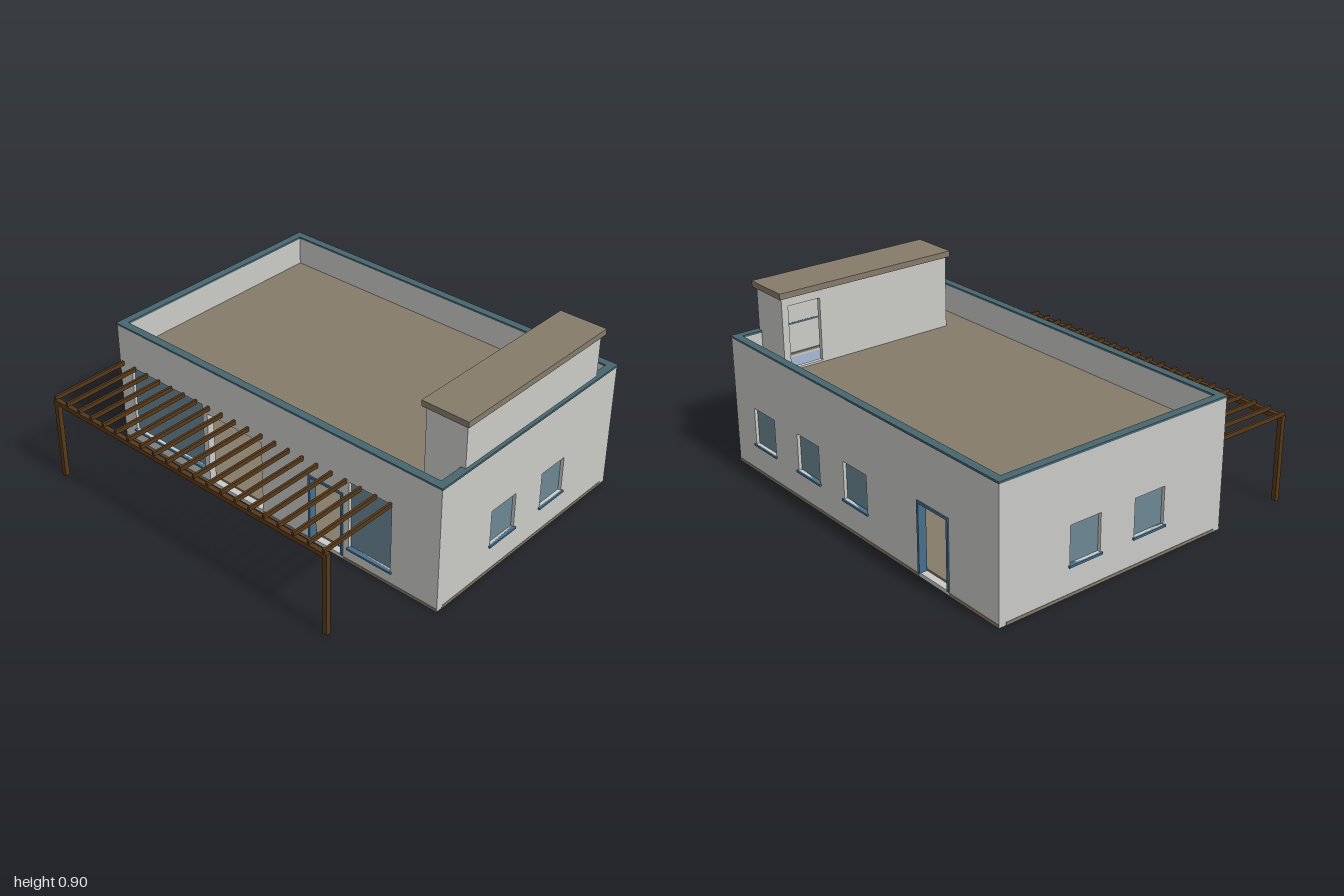
import * as THREE from 'three';

const mat = (name, color) => Object.assign(new THREE.MeshStandardMaterial({ color }), { name });

export function createModel() {
  const plaster = mat('plaster', 0xcacac7);
  const tan = mat('tan slab', 0x857b6a);
  const inner = mat('pale blue interior', 0xa6b9d3);
  const glass = mat('window glass', 0x6c8794);
  const coping = mat('teal coping', 0x48666f);
  const trim = mat('blue trim', 0x47708c);
  const wood = mat('dark wood', 0x573819);

  const model = new THREE.Group();
  model.name = 'flatRoofHouse';

  // Box given by its min and max on each axis
  const box = (parent, name, material, x0, x1, y0, y1, z0, z1) => {
    const mesh = new THREE.Mesh(new THREE.BoxGeometry(x1 - x0, y1 - y0, z1 - z0), material);
    mesh.position.set((x0 + x1) / 2, (y0 + y1) / 2, (z0 + z1) / 2);
    mesh.name = name;
    parent.add(mesh);
    return mesh;
  };

  const rectPoints = (x0, x1, y0, y1) => [
    new THREE.Vector2(x0, y0), new THREE.Vector2(x1, y0),
    new THREE.Vector2(x1, y1), new THREE.Vector2(x0, y1)];

  // Rectangular panel with rectangular holes, extruded along z
  const panel = (parent, name, material, rect, holes, depth) => {
    const shape = new THREE.Shape(rectPoints(...rect));
    holes.forEach(h => shape.holes.push(new THREE.Path(rectPoints(...h))));
    const geometry = new THREE.ExtrudeGeometry(shape, { depth, bevelEnabled: false });
    const mesh = new THREE.Mesh(geometry, material);
    mesh.name = name;
    parent.add(mesh);
    return mesh;
  };

  const X = 0.99, ZF = 0.43, ZB = -0.845, ZC = (ZF + ZB) / 2;
  const T = 0.035, TOP = 0.645, ROOF = 0.5;

  // Wall seen from outside: openings are [kind, u0, u1, y0, y1]
  const buildWall = (name, half, innerHalf, openings, position, turn) => {
    const wall = new THREE.Group();
    wall.name = name;
    wall.position.set(...position);
    wall.rotation.y = turn;
    model.add(wall);
    const holes = openings.map(o => o.slice(1));
    panel(wall, 'wallPanel', plaster, [-half, half, 0, TOP], holes, T).position.z = -T;
    panel(wall, 'interiorLining', inner, [-innerHalf, innerHalf, 0.015, ROOF - 0.02], holes, 0.004)
      .position.z = -T - 0.004;

    for (const [kind, a, b, y0, y1] of openings) {
      if (kind === 'window') {
        box(wall, 'windowPane', glass, a, b, y0, y1, -0.024, -0.016);
        box(wall, 'windowSill', trim, a - 0.008, b + 0.008, y0 - 0.01, y0, -0.016, 0.009);
      } else if (kind === 'door') {
        const f = 0.012;
        box(wall, 'doorJamb', trim, a, a + f, y0, y1, -T, 0.006);
        box(wall, 'doorJamb', trim, b - f, b, y0, y1, -T, 0.006);
        box(wall, 'doorHead', trim, a, b, y1 - f, y1, -T, 0.006);
      }
    }

    // Base strip interrupted at the doorways
    let start = -half;
    const gaps = openings.filter(o => o[0] !== 'window').sort((p, q) => p[1] - q[1]);
    for (const [, a, b] of [...gaps, ['', half, half]]) {
      box(wall, 'baseStrip', tan, start, a, 0, 0.015, -0.002, 0.002);
      start = b;
    }
  };

  buildWall('frontWall', X, X - T, [
    ['window', -0.905, -0.42, 0.08, 0.44],
    ['opening', -0.39, -0.04, 0.02, 0.4],
    ['door', 0.25, 0.455, 0.02, 0.365],
    ['window', 0.488, 0.728, 0.08, 0.44]], [0, 0, ZF], 0);

  buildWall('backWall', X, X - T, [
    ...[-0.735, -0.365, 0.005].map(u => ['window', u - 0.088, u + 0.088, 0.15, 0.335]),
    ['door', 0.46, 0.67, 0.02, 0.365]], [0, 0, ZB], Math.PI);

  const sideHalf = (ZF - ZB) / 2 - T;
  for (const side of [1, -1]) {
    const openings = [[-0.105, 0.07], [-0.47, -0.3]].map(([z0, z1]) => {
      const u = [-side * (z0 - ZC), -side * (z1 - ZC)].sort((p, q) => p - q);
      return ['window', ...u, 0.15, 0.335];
    });
    buildWall(side > 0 ? 'leftWall' : 'rightWall', sideHalf, sideHalf, openings,
      [side * X, 0, ZC], side * Math.PI / 2);
  }

  // Floor slab
  box(model, 'floor', tan, -X + T, X - T, 0.002, 0.03, ZB + T, ZF - T);

  // Roof slab and ceiling, with a stairwell hole under the roof tower
  const roofRect = [-X + T, X - T, -ZF + T, -ZB - T];
  const stairHole = [[0.785, 0.945, -0.235, 0.675]];
  const roof = panel(model, 'roof', tan, roofRect, stairHole, 0.01);
  roof.rotation.x = -Math.PI / 2;
  roof.position.y = ROOF - 0.01;
  const ceiling = panel(model, 'ceiling', plaster, roofRect, stairHole, 0.01);
  ceiling.rotation.x = -Math.PI / 2;
  ceiling.position.y = ROOF - 0.02;

  // Coping on top of the parapet
  const cap = panel(model, 'parapetCoping', coping, [-X - 0.003, X + 0.003, -ZF - 0.003, -ZB + 0.003],
    [[-X + 0.038, X - 0.038, -ZF + 0.038, -ZB - 0.038]], 0.01);
  cap.rotation.x = -Math.PI / 2;
  cap.position.y = TOP;

  // Hollow roof tower with a doorway facing the terrace
  const tower = new THREE.Group();
  tower.name = 'roofTower';
  model.add(tower);
  const [tx0, tx1, tz0, tz1, ty, w] = [0.76, 0.975, -0.7, 0.26, 0.87, 0.022];
  box(tower, 'towerFront', plaster, tx0, tx1, ROOF, ty, tz1 - w, tz1);
  box(tower, 'towerBack', plaster, tx0, tx1, ROOF, ty, tz0, tz0 + w);
  box(tower, 'towerOuterWall', plaster, tx1 - w, tx1, ROOF, ty, tz0 + w, tz1 - w);
  const doorWall = panel(tower, 'towerDoorWall', plaster, [tz0 + w, tz1 - w, ROOF, ty],
    [[-0.665, -0.49, ROOF + 0.01, 0.825]], w);
  doorWall.rotation.y = -Math.PI / 2;
  doorWall.position.x = tx0 + w;
  box(tower, 'towerCap', tan, 0.744, 0.99, ty, 0.9, -0.716, 0.276);

  // Pergola
  const pergola = new THREE.Group();
  pergola.name = 'pergola';
  model.add(pergola);
  for (const x of [-0.962, 0.73]) {
    box(pergola, 'pergolaPost', wood, x - 0.012, x + 0.012, 0, 0.41, 0.831, 0.855);
  }
  box(pergola, 'pergolaBeam', wood, -0.975, 0.743, 0.408, 0.432, 0.831, 0.855);
  for (let i = 0; i < 21; i++) {
    const x = -0.967 + i * 0.0845;
    box(pergola, 'pergolaRafter', wood, x - 0.006, x + 0.006, 0.428, 0.45, ZF, 0.853);
  }

  return model;
}
